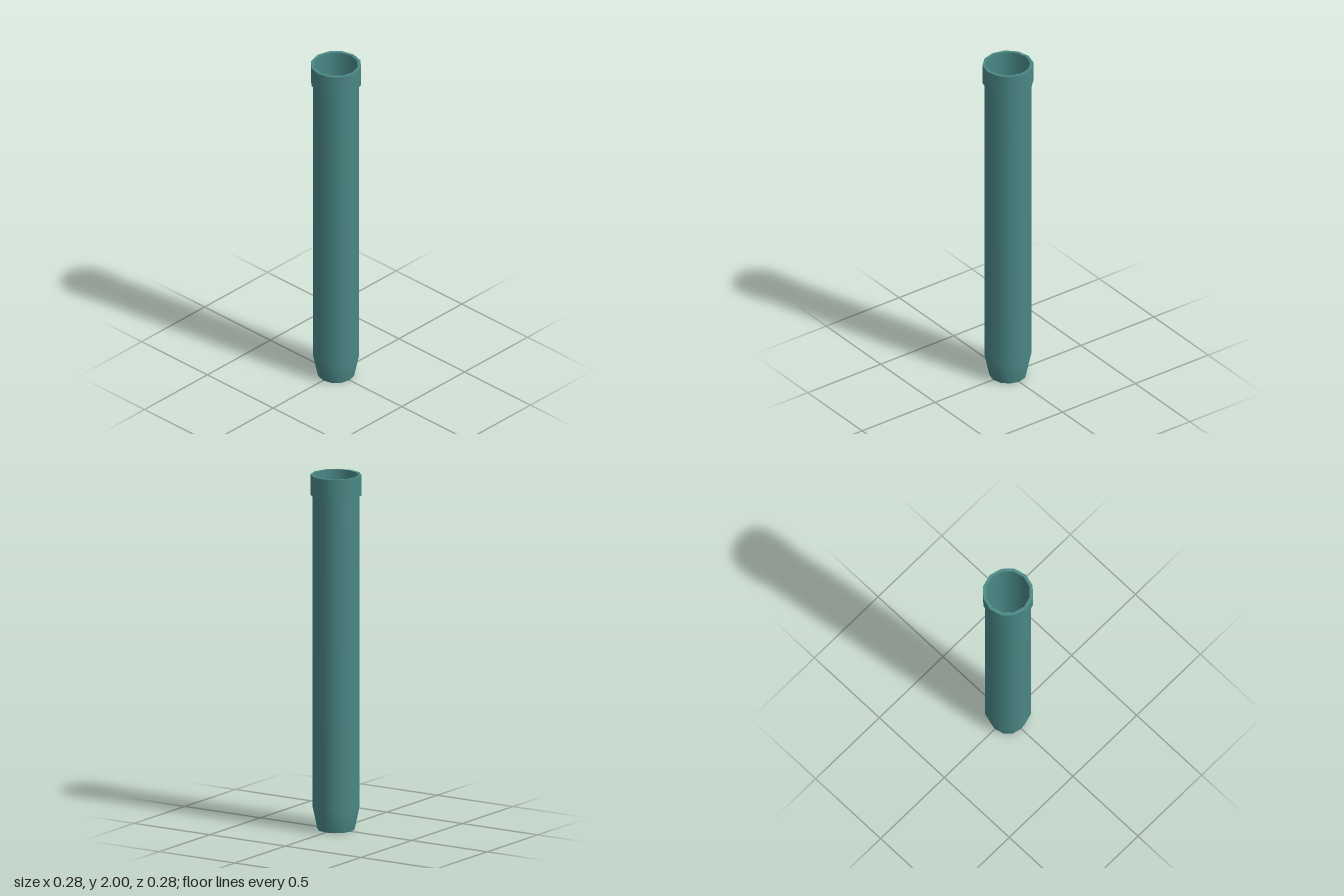
import * as THREE from 'three';

const SIDES = 12;

export function createModel() {
  const model = new THREE.Group();
  const teal = new THREE.MeshStandardMaterial({ color: 0x4a8886 });
  const magenta = new THREE.MeshStandardMaterial({ color: 0xbf0dbf });

  // Revolves a short [radius, height] profile; separate calls keep edges sharp
  const revolve = (name, profile, material = teal) => {
    const points = profile.map(([r, y]) => new THREE.Vector2(r, y));
    const mesh = new THREE.Mesh(new THREE.LatheGeometry(points, SIDES), material);
    mesh.name = name;
    model.add(mesh);
  };

  const bodyR = 0.13, collarR = 0.141, boreR = 0.123;
  const collarY = 1.885, floorY = 0.13;

  // Tapered foot and long tube
  revolve('base', [[0, 0], [0.102, 0]]);
  revolve('tube', [[0.102, 0], [bodyR, 0.13], [bodyR, collarY]]);

  // Collar around the mouth
  revolve('collarUnderside', [[bodyR, collarY], [collarR, collarY]]);
  revolve('collar', [[collarR, collarY], [collarR, 2]]);
  revolve('rim', [[collarR, 2], [boreR, 2]]);

  // Hollow inside with a coloured floor
  revolve('bore', [[boreR, 2], [boreR, floorY]]);
  revolve('boreFloor', [[boreR, floorY], [0, floorY]], magenta);

  return model;
}
